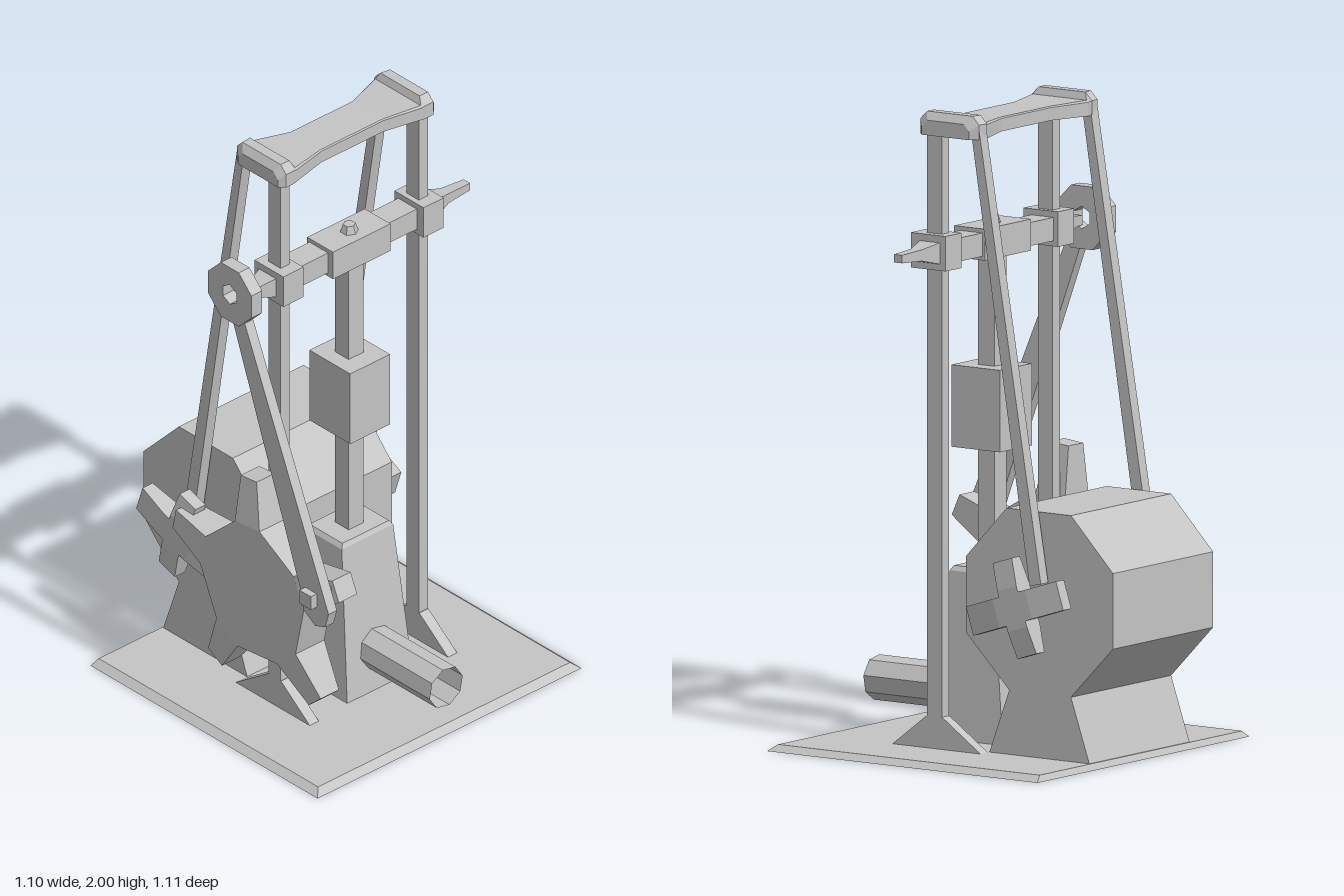
import * as THREE from 'three';

const grey = new THREE.MeshStandardMaterial({ color: 0xc4c4c4 });
grey.name = 'plain grey';
const greyOpen = new THREE.MeshStandardMaterial({ color: 0xc4c4c4, side: THREE.DoubleSide });
greyOpen.name = 'plain grey open';

// Faceted solid through convex rings, each counter-clockwise seen from the last ring's end
function loft(rings) {
  const pos = [];
  const tri = (...pts) => pts.forEach((p) => pos.push(...p));
  const n = rings[0].length;
  for (let i = 0; i + 1 < rings.length; i++) {
    for (let j = 0; j < n; j++) {
      const k = (j + 1) % n, a = rings[i], b = rings[i + 1];
      tri(a[j], a[k], b[k]);
      tri(a[j], b[k], b[j]);
    }
  }
  const first = rings[0], last = rings[rings.length - 1];
  for (let j = 1; j + 1 < n; j++) {
    tri(first[0], first[j + 1], first[j]);
    tri(last[0], last[j], last[j + 1]);
  }
  const g = new THREE.BufferGeometry();
  g.setAttribute('position', new THREE.Float32BufferAttribute(pos, 3));
  g.computeVertexNormals();
  return g;
}

// Rectangular sections along x: [x, y0, y1, z0, z1]
const loftX = (s) => loft(s.map(([x, y0, y1, z0, z1]) =>
  [[x, y0, z1], [x, y0, z0], [x, y1, z0], [x, y1, z1]]));

// Rectangular sections along y: [y, half x, z0, z1]
const loftY = (s) => loft(s.map(([y, hx, z0, z1]) =>
  [[-hx, y, z1], [hx, y, z1], [hx, y, z0], [-hx, y, z0]]));

// Convex [z, y] outline given thickness in x
function plate(outline, x0, x1) {
  let area = 0;
  outline.forEach(([z, y], i) => {
    const [z2, y2] = outline[(i + 1) % outline.length];
    area += z2 * y - z * y2;
  });
  const o = area > 0 ? outline : [...outline].reverse();
  return loft([x0, x1].map((x) => o.map(([z, y]) => [x, y, z])));
}

// Points of a regular polygon with flat top, as [z, y]
const polygon = (n, r, cz, cy) => Array.from({ length: n }, (_, i) => {
  const a = ((i + 0.5) / n) * Math.PI * 2;
  return [cz + r * Math.cos(a), cy + r * Math.sin(a)];
});

export function createModel() {
  const model = new THREE.Group();
  model.name = 'beamEngine';
  const add = (name, geo, parent = model, mat = grey) => {
    const m = new THREE.Mesh(geo, mat);
    m.name = name;
    parent.add(m);
    return m;
  };
  const box = (name, x0, x1, y0, y1, z0, z1) => add(name, loftX([[x0, y0, y1, z0, z1], [x1, y0, y1, z0, z1]]));

  // Base plate with bevelled rim
  add('base', loftY([[0, 0.55, -0.48, 0.55], [0.02, 0.525, -0.475 + 0.005, 0.525]]));

  // Drum on its stand
  add('drum', plate([[-0.15, 0.785], [-0.395, 0.785], [-0.555, 0.62], [-0.555, 0.385],
    [-0.395, 0.22], [-0.16, 0.22], [0.005, 0.385], [0.005, 0.62]], -0.26, 0.26));
  add('drumStand', plate([[-0.16, 0.22], [-0.395, 0.22], [-0.465, 0.02], [-0.085, 0.02]], -0.26, 0.26));

  // Pedestal and open spout
  add('pedestal', loftY([[0.02, 0.137, -0.045, 0.235], [0.54, 0.107, 0.012, 0.178], [0.555, 0.097, 0.02, 0.17]]));
  const spout = new THREE.CylinderGeometry(0.07, 0.07, 0.33, 8, 1, true).toNonIndexed();
  spout.computeVertexNormals();
  const spoutMesh = add('spout', spout, model, greyOpen);
  spoutMesh.rotation.set(Math.PI / 2, 0.2, 0, 'XYZ');
  spoutMesh.position.set(0, 0.16, 0.37);

  // Posts, feet and rear braces
  for (const s of [-1, 1]) {
    const x0 = s * 0.288 - 0.019, x1 = s * 0.288 + 0.019;
    box('post', x0, x1, 0.02, 1.95, 0.062, 0.118);
    add('postFoot', plate([[0.25, 0.02], [0.12, 0.12], [0.06, 0.12], [-0.085, 0.02]], x0, x1));
    add('rearBrace', plate([[-0.05, 1.95], [-0.078, 1.97], [-0.315, 0.57], [-0.272, 0.56]], x0, x1));
  }

  // Top crossbar, pinched in the middle with raised ends
  const bar = [];
  for (const s of [-1, 1]) {
    const half = [
      [0.325, 0.125, -0.055, 1.975, 0.02], [0.307, 0.143, -0.08, 2, 0.025],
      [0.272, 0.143, -0.085, 2, 0.025], [0.262, 0.14, -0.078, 1.977, 0.006],
      [0.13, 0.11, -0.035, 1.972, 0.004],
    ].map(([x, z1, z0, top, c]) => [
      [s * x, 1.928, z1], [s * x, 1.928, z0], [s * x, top - c, z0],
      [s * x, top, z0 + c], [s * x, top, z1 - c], [s * x, top - c, z1]]);
    bar.push(...(s < 0 ? half : half.reverse()));
  }
  add('topCrossbar', loft(bar));

  // Sliding crosshead with collars and tapered ends
  add('crosshead', loftX([
    [-0.44, 1.552, 1.582, 0.075, 0.105], [-0.4, 1.55, 1.585, 0.07, 0.11], [-0.32, 1.53, 1.603, 0.045, 0.13],
    [0.32, 1.53, 1.603, 0.045, 0.13], [0.4, 1.55, 1.585, 0.07, 0.11], [0.495, 1.555, 1.58, 0.075, 0.105]]));
  box('crossheadBlock', -0.12, 0.12, 1.518, 1.616, 0.035, 0.152);
  for (const s of [-1, 1]) box('collar', s * 0.292 - 0.042, s * 0.292 + 0.042, 1.513, 1.622, 0.028, 0.16);

  // Piston rod with weight and top nut
  box('pistonRod', -0.031, 0.031, 0.54, 1.53, 0.064, 0.126);
  box('weight', -0.083, 0.083, 0.92, 1.175, 0.005, 0.19);
  const nut = add('topNut', new THREE.CylinderGeometry(0.02, 0.03, 0.03, 6).toNonIndexed());
  nut.geometry.computeVertexNormals();
  nut.position.set(0, 1.627, 0.095);

  // Crank disc with a hole, connecting rod and pin
  const ring = (n, r) => polygon(n, r, 0, 0).map(([x, y]) => new THREE.Vector2(x, y));
  const discShape = new THREE.Shape(ring(8, 0.106));
  discShape.holes.push(new THREE.Path(ring(6, 0.035)));
  const disc = add('crankDisc', new THREE.ExtrudeGeometry(discShape, { depth: 0.045, bevelEnabled: false }));
  disc.rotation.y = -Math.PI / 2;
  disc.position.set(-0.43, 1.577, 0.07);
  add('connectingRod', plate([[0.135, 1.5], [0.075, 1.5], [0.388, 0.65], [0.4, 0.585],
    [0.455, 0.55], [0.5, 0.567], [0.515, 0.62]], -0.472, -0.437));
  box('crankPin', -0.497, -0.4, 0.622, 0.67, 0.41, 0.462);

  // Radial arm: [radius, half thickness, half width] sections turned to an angle from +z
  const arm = (name, parent, angle, sections) => {
    const m = add(name, loftY(sections.map(([r, hx, w]) => [r, hx, -w, w])), parent);
    m.rotation.x = Math.PI / 2 - THREE.MathUtils.degToRad(angle);
  };

  // Five-armed star wheel
  const star = new THREE.Group();
  star.name = 'starWheel';
  star.position.set(-0.371, 0.5, 0.125);
  model.add(star);
  const hub = [];
  for (let i = 0; i < 5; i++) {
    const a = 24 + i * 72;
    arm('starArm', star, a, [[0.1, 0.06, 0.056], [0.23, 0.06, 0.056], [0.387, 0.038, 0.036]]);
    for (const d of [-13.5, 13.5]) {
      const t = THREE.MathUtils.degToRad(a + d);
      hub.push([0.237 * Math.cos(t), 0.237 * Math.sin(t)]);
    }
  }
  add('starHub', plate(hub, -0.06, 0.06), star);
  add('starAxle', plate(polygon(8, 0.035, 0, 0), 0.05, 0.1), star);

  // Four-armed cross wheel on each side of the drum
  for (const s of [-1, 1]) {
    const cross = new THREE.Group();
    cross.name = s > 0 ? 'leftCrossWheel' : 'rightCrossWheel';
    cross.position.set(s * 0.361, 0.5, -0.27);
    model.add(cross);
    for (let i = 0; i < 4; i++) {
      const long = i % 2 === 1;
      arm('crossArm', cross, 72 + 90 * i,
        [[0, 0.034, long ? 0.046 : 0.038], [0.065, 0.034, long ? 0.046 : 0.038],
          [long ? 0.18 : 0.152, 0.021, long ? 0.046 : 0.038]]);
    }
    add('crossAxle', plate(polygon(8, 0.03, 0, 0), s > 0 ? -0.11 : 0.02, s > 0 ? -0.02 : 0.11), cross);
  }
  return model;
}
